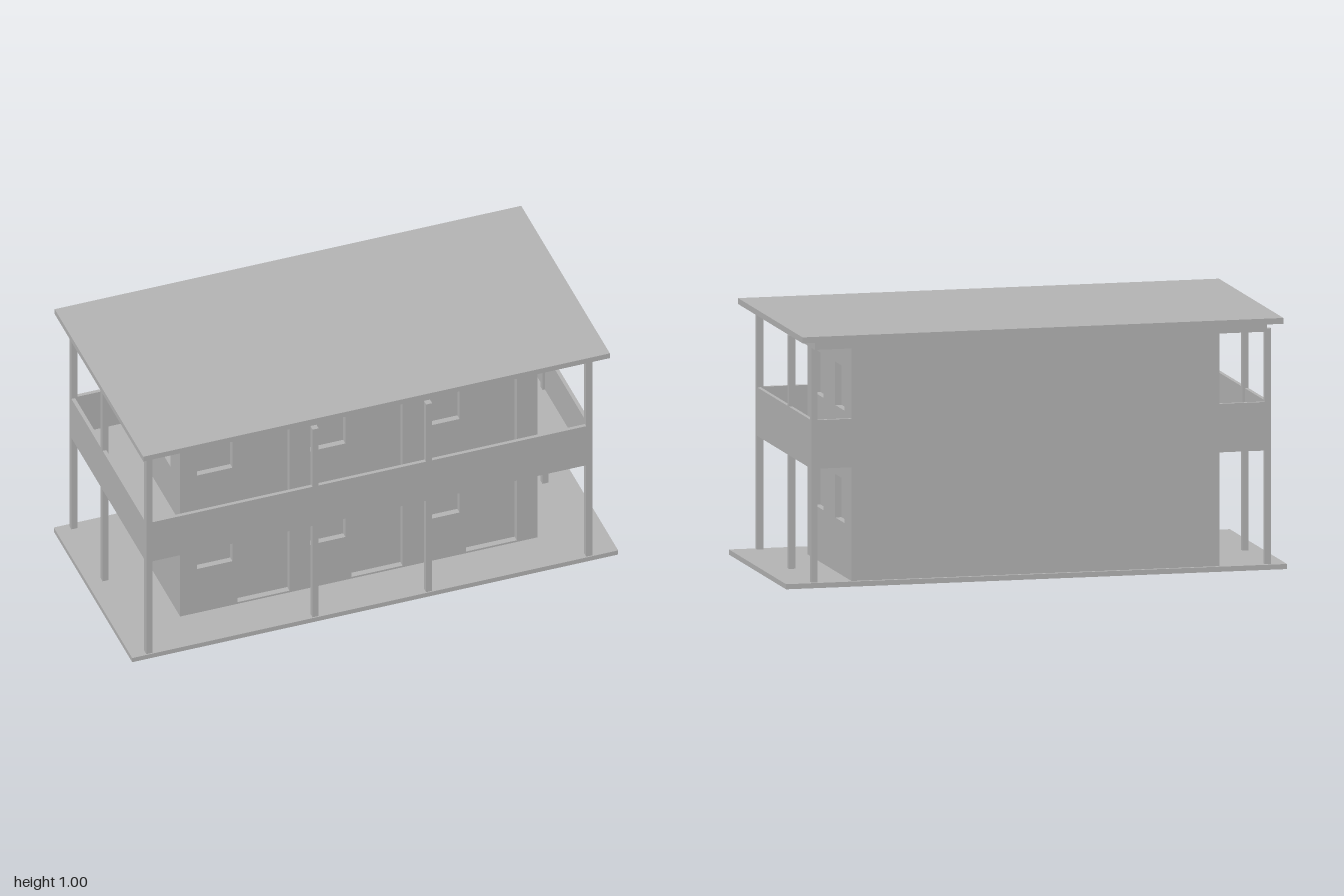
import * as THREE from 'three';

export function createModel() {
  const group = new THREE.Group();
  const grey = new THREE.MeshStandardMaterial({ color: 0xb2b2b2 });
  grey.name = 'concrete grey';

  // Box given by its extents on each axis
  function box(name, x0, x1, y0, y1, z0, z1) {
    const m = new THREE.Mesh(new THREE.BoxGeometry(x1 - x0, y1 - y0, z1 - z0), grey);
    m.position.set((x0 + x1) / 2, (y0 + y1) / 2, (z0 + z1) / 2);
    m.name = name;
    group.add(m);
  }

  const rect = (P, x0, x1, y0, y1) => {
    const p = new P();
    p.moveTo(x0, y0);
    p.lineTo(x1, y0);
    p.lineTo(x1, y1);
    p.lineTo(x0, y1);
    p.closePath();
    return p;
  };

  // Wall plate with openings, extruded toward +z
  const reveal = 0.025, wallTop = 0.945;
  function wall(name, x0, x1, openings) {
    const shape = rect(THREE.Shape, x0, x1, 0.018, wallTop);
    for (const o of openings) shape.holes.push(rect(THREE.Path, ...o));
    const m = new THREE.Mesh(new THREE.ExtrudeGeometry(shape, { depth: reveal, bevelEnabled: false }), grey);
    m.name = name;
    group.add(m);
    return m;
  }

  // Ground slab and house core (the recessed panes lie on the core)
  box('groundSlab', -1, 1, 0, 0.02, -0.4, 0.485);
  const hx = 0.735, hz0 = -0.385, hz1 = 0.3;
  box('houseCore', -hx + reveal, hx - reveal, 0.018, wallTop, hz0, hz1 - reveal);

  // Front wall: three bays of window and door on two storeys
  const storey = 0.455, front = [];
  const windowsX = [[-0.665, -0.52], [-0.2, -0.055], [0.27, 0.415]];
  const doorsX = [[-0.5, -0.285], [-0.03, 0.18], [0.44, 0.65]];
  for (let floor = 0; floor < 2; floor++) {
    const dy = floor * storey;
    for (let i = 0; i < 3; i++) {
      const drop = i * 0.004;
      front.push([...windowsX[i], 0.233 + dy - drop, 0.396 + dy - drop]);
      front.push([...doorsX[i], 0.028 + dy, 0.417 + dy - drop]);
    }
  }
  wall('frontWall', -hx, hx, front).position.z = hz1 - reveal;

  // Side walls, two windows per storey
  for (const s of [1, -1]) {
    const holes = [];
    for (const [z0, z1] of [[0.05, 0.193], [-0.277, -0.133]])
      for (const y of [0.23, 0.67])
        holes.push(s > 0 ? [-z1, -z0, y, y + 0.17] : [z0, z1, y, y + 0.17]);
    const m = wall(s > 0 ? 'leftWall' : 'rightWall', s > 0 ? -hz1 : hz0, s > 0 ? -hz0 : hz1, holes);
    m.rotation.y = s * Math.PI / 2;
    m.position.x = s * (hx - reveal);
  }

  // Balcony floor and parapet
  const bx0 = -0.94, bx1 = 0.895, bz0 = -0.385, bz1 = 0.48, b0 = 0.465, b1 = 0.655, t = 0.015;
  box('balconyFloor', bx0, bx1, b0, 0.477, bz0, bz1);
  box('frontParapet', bx0, bx1, b0, b1, bz1 - t, bz1);
  box('rightParapet', bx0, bx0 + t, b0, b1, bz0, bz1);
  box('leftParapet', bx1 - t, bx1, b0, b1, bz0, bz1);
  box('backParapetRight', bx0, -hx, b0, b1, bz0, bz0 + t);
  box('backParapetLeft', hx, bx1, b0, b1, bz0, bz0 + t);

  // Posts along the front and both sides
  const w = 0.025;
  for (const x of [bx0, bx1 - w]) {
    box('frontCornerPost', x, x + w, 0.02, 0.978, bz1 - w, bz1);
    box('sidePost', x, x + w, 0.02, 0.933, -0.038, -0.013);
    box('backCornerPost', x, x + w, 0.02, 0.943, bz0, bz0 + 0.02);
  }
  for (const x of [-0.256, 0.211]) box('frontPost', x, x + w, 0.02, 0.933, bz1 - w, bz1);

  // Roof with the smaller ceiling slab below it
  box('ceilingSlab', -0.905, 0.9, 0.942, 0.978, -0.457, 0.436);
  box('roof', -0.96, 0.96, 0.977, 1, -0.5, 0.5);
  return group;
}
